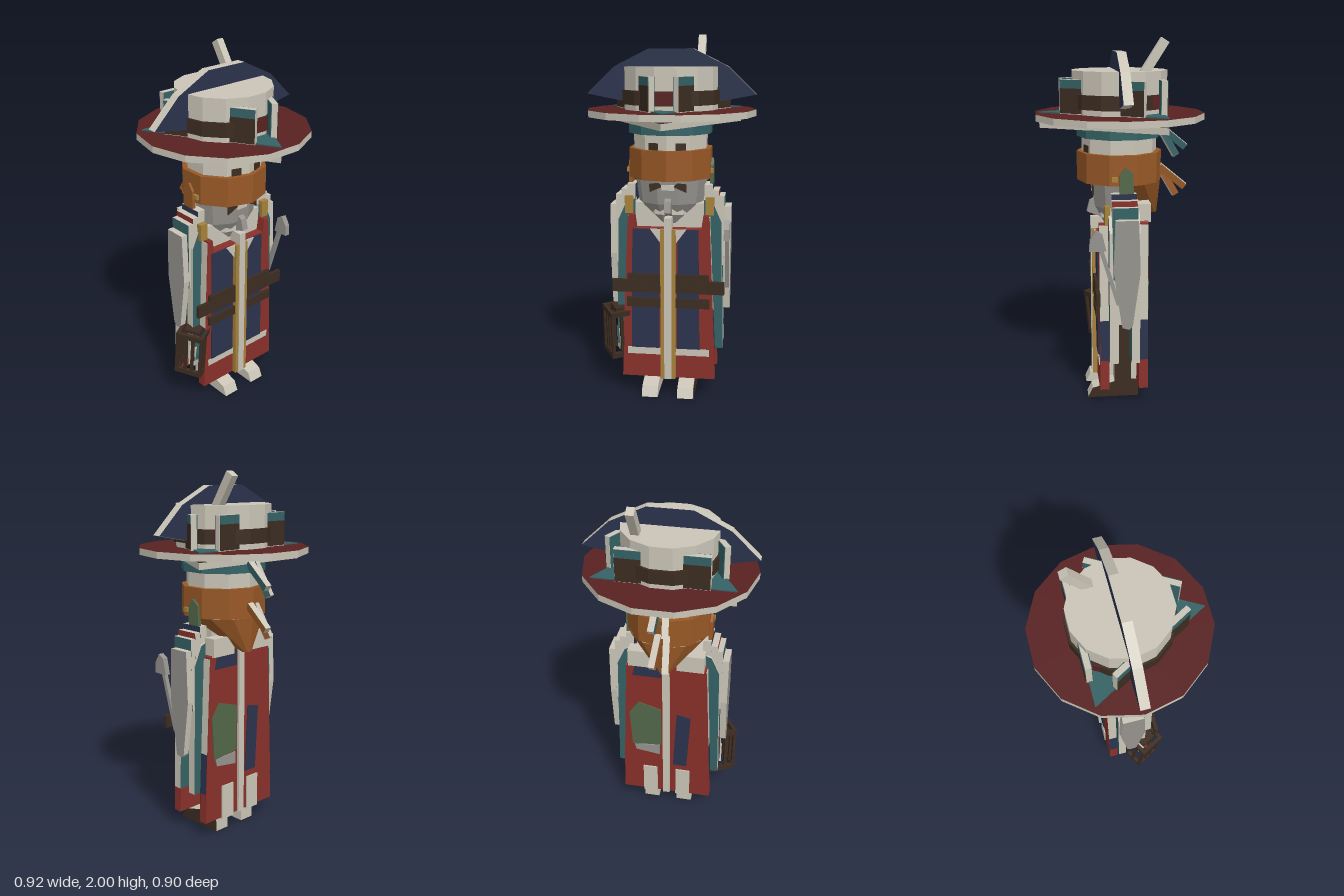
import * as THREE from 'three';

const paint = (name, color) => {
  const m = new THREE.MeshStandardMaterial({ color });
  m.name = name;
  m.flatShading = true;
  return m;
};
const BONE = paint('bone', 0xcac5b7), MAROON = paint('maroon', 0x582121), RED = paint('red', 0x89302a);
const NAVY = paint('navy', 0x2b334d), TEAL = paint('teal', 0x356265), BROWN = paint('brown', 0x3c2c21);
const ORANGE = paint('orange', 0x985826), GOLD = paint('gold', 0xa6813a);
const GREY = paint('grey', 0x96938e), GREEN = paint('green', 0x526849);
ORANGE.side = THREE.DoubleSide;

export function createModel() {
  const model = new THREE.Group();
  model.name = 'hattedTraveller';
  let parent = model;

  const add = (name, geo, mat, x = 0, y = 0, z = 0) => {
    const mesh = new THREE.Mesh(geo, mat);
    mesh.name = name;
    mesh.position.set(x, y, z);
    parent.add(mesh);
    return mesh;
  };
  // Box given by its limits
  const box = (name, mat, x0, x1, y0, y1, z0, z1) =>
    add(name, new THREE.BoxGeometry(Math.abs(x1 - x0), y1 - y0, z1 - z0), mat, (x0 + x1) / 2, (y0 + y1) / 2, (z0 + z1) / 2);
  const extrude = (pts, depth) => new THREE.ExtrudeGeometry(
    new THREE.Shape(pts.map(p => new THREE.Vector2(p[0], p[1]))), { depth, bevelEnabled: false });
  // Cut-out facing z, with its own face and edge colours
  const plate = (name, pts, z0, z1, face, edge = BONE) => add(name, extrude(pts, z1 - z0), [face, edge], 0, 0, z0);
  // Cut-out facing x, points given as z, y
  const sidePlate = (name, pts, x0, x1, face, edge = BONE) =>
    add(name, extrude(pts, Math.abs(x1 - x0)).rotateY(-Math.PI / 2), [face, edge], Math.max(x0, x1));
  // Cut-out lying flat, points given as x, z
  const flatPlate = (name, pts, y0, y1, face, edge = BONE) =>
    add(name, extrude(pts, y1 - y0).rotateX(Math.PI / 2), [face, edge], 0, y1);
  const drum = (name, r, y0, y1, sides, mat) =>
    add(name, new THREE.CylinderGeometry(r, r, y1 - y0, sides), mat, 0, (y0 + y1) / 2);
  // Bar between two points
  const bar = (name, a, b, w, d, mat) => {
    const A = new THREE.Vector3(...a), dir = new THREE.Vector3(...b).sub(A);
    const mesh = add(name, new THREE.BoxGeometry(w, dir.length(), d), mat);
    mesh.position.copy(A).addScaledVector(dir, 0.5);
    mesh.quaternion.setFromUnitVectors(new THREE.Vector3(0, 1, 0), dir.normalize());
    return mesh;
  };
  const mirror = (pts, s) => pts.map(([x, y]) => [s * x, y]);
  const group = name => {
    parent = new THREE.Group();
    parent.name = name;
    model.add(parent);
    return parent;
  };

  // ---- Hat ----
  group('hat');
  const turn = Math.PI / 14;
  const brim = add('brim', new THREE.CylinderGeometry(0.46, 0.46, 0.035, 14), [BONE, MAROON, MAROON], 0, 1.588, 0);
  const crown = drum('crown', 0.258, 1.6, 1.83, 14, BONE);
  const band = drum('hatBand', 0.27, 1.635, 1.71, 14, BROWN);
  [brim, crown, band].forEach(m => { m.rotation.y = turn; });
  box('bandPatch', MAROON, -0.055, 0.055, 1.64, 1.708, 0.262, 0.268);
  for (const s of [1, -1]) {
    const patch = add('bandPatch', new THREE.BoxGeometry(0.1, 0.068, 0.006), MAROON, s * 0.206, 1.674, -0.165);
    patch.rotation.y = s * 9 * turn;
  }
  const corners = [[0, 0.43], [0.37, -0.215], [-0.37, -0.215]];
  flatPlate('lowerTricorn', corners, 1.525, 1.56, BROWN);
  flatPlate('upperTricorn', corners, 1.605, 1.612, TEAL, TEAL);
  // Three upturned flaps
  for (const a of [Math.PI / 3, Math.PI, -Math.PI / 3]) {
    const keep = parent;
    const flap = new THREE.Group();
    flap.name = 'hatFlap';
    flap.rotation.y = a;
    parent.add(flap);
    parent = flap;
    box('flapBoard', BONE, -0.24, 0.24, 1.606, 1.785, 0.195, 0.225);
    box('flapLower', BROWN, -0.238, 0.238, 1.61, 1.74, 0.224, 0.229);
    box('flapUpper', TEAL, -0.238, 0.238, 1.74, 1.784, 0.224, 0.229);
    box('flapLining', TEAL, -0.238, 0.238, 1.61, 1.784, 0.191, 0.196);
    parent = keep;
  }
  plate('crest', [[-0.46, 1.685], [-0.31, 1.83], [-0.12, 1.925], [0.12, 1.925], [0.31, 1.83], [0.46, 1.685], [0.25, 1.645], [-0.25, 1.645]],
    -0.025, 0.025, NAVY);
  bar('feather', [0.15, 1.78, -0.09], [0.15, 1.987, -0.222], 0.042, 0.048, BONE);

  // ---- Head ----
  group('head');
  drum('neck', 0.13, 1.04, 1.3, 10, BONE);
  drum('skull', 0.205, 1.3, 1.48, 10, BONE);
  drum('capBand', 0.232, 1.48, 1.526, 10, TEAL);
  drum('scarf', 0.232, 1.24, 1.4, 10, ORANGE);
  // Beard wraps the front half of the face
  const beardProfile = [[0.001, 0.98], [0.1, 0.98], [0.18, 1.1], [0.2, 1.245]].map(p => new THREE.Vector2(...p));
  const beard = new THREE.LatheGeometry(beardProfile, 5, -Math.PI / 2, Math.PI).scale(1, 1, 0.8);
  add('beard', beard, GREY);
  sidePlate('beardTip', [[0.13, 1.14], [0.165, 1.12], [0.18, 1.06], [0.1, 1.03]], -0.018, 0.018, GREY, GREY);
  box('mouth', BONE, -0.035, 0.035, 1.18, 1.21, 0.14, 0.154);
  for (const s of [1, -1]) {
    const eye = add('eye', new THREE.BoxGeometry(0.055, 0.045, 0.009), BROWN, s * 0.072, 1.415, 0.182);
    eye.rotation.y = s * Math.PI / 9;
    plate('moustache', mirror([[0.03, 1.2], [0.1, 1.17], [0.1, 1.215], [0.05, 1.22]], s), 0.145, 0.154, BROWN, BROWN);
    sidePlate('earFlap', [[0.02, 1.2], [0.02, 1.3], [-0.01, 1.34], [-0.05, 1.31], [-0.055, 1.2]], s * 0.215, s * 0.235,
      s > 0 ? GREEN : ORANGE, s > 0 ? GREEN : ORANGE);
    box('earring', GOLD, s * 0.222, s * 0.237, 1.265, 1.29, 0.03, 0.06);
  }
  // Cloth drawn to a point at the back, with knotted ends
  const cloth = new THREE.CylinderGeometry(0.23, 0.03, 0.19, 6, 1, true, Math.PI / 2, Math.PI);
  const cp = cloth.attributes.position;
  for (let i = 0; i < cp.count; i++) if (cp.getY(i) < 0) cp.setZ(i, cp.getZ(i) - 0.18);
  add('scarfDrape', cloth, ORANGE, 0, 1.145, 0);
  for (const [y, mat] of [[1.31, ORANGE], [1.53, TEAL]]) {
    const faces = [mat, mat, BONE, BONE, BONE, BONE];
    bar('upperTie', [0.02, y, -0.22], [0.03, y - 0.115, -0.36], 0.035, 0.036, faces);
    bar('lowerTie', [-0.02, y, -0.22], [-0.03, y - 0.17, -0.32], 0.035, 0.036, faces);
  }

  // ---- Robe ----
  group('robe');
  plate('torso', [[-0.19, 0.45], [0.19, 0.45], [0.19, 1.1], [-0.19, 1.1]], -0.08, 0.08, BONE);
  const hemX = y => 0.262 - (y - 0.1) * 0.0447;
  const frontHalf = [[0, 0.1], [0.262, 0.1], [0.22, 1.04], [0.19, 1.04], [0.18, 0.965], [0, 0.965]];
  const backHalf = [[0, 0.1], [0.262, 0.1], [0.22, 1.04], [0.17, 1.08], [0, 1.08]];
  for (const s of [1, -1]) {
    for (const [name, half, z0, z1] of [['frontSkirt', frontHalf, 0.08, 0.13], ['backSkirt', backHalf, -0.135, -0.085]]) {
      plate(name, mirror(half, s), z0, z1, RED, RED);
      // Banded side edges
      for (const [y0, y1, mat] of [[0.27, 0.5, NAVY], [0.5, 1.03, BONE]]) {
        const strip = [[hemX(y0) - 0.003, y0], [hemX(y0) + 0.004, y0], [hemX(y1) + 0.004, y1], [hemX(y1) - 0.003, y1]];
        plate('skirtEdge', mirror(strip, s), z0 + 0.001, z1 - 0.001, RED, mat);
      }
    }
    // Front panel; the left one is overlapped by the red coat edge
    const out = s > 0 ? 0.175 : 0.208;
    plate('frontTrim', mirror([[0.03, 0.235], [0.23, 0.235], [0.23, 0.275], [0.03, 0.275]], s), 0.129, 0.134, BONE);
    plate('frontPanel', mirror([[0.05, 0.275], [out, 0.275], [out - 0.01, 0.962], [0.05, 0.962]], s), 0.129, 0.136, NAVY, NAVY);
    plate('collarTip', mirror([[0.04, 0.965], [0.1, 0.965], [0.045, 0.89]], s), 0.136, 0.143, BONE);
    box('goldTrim', GOLD, s * 0.02, s * 0.042, 0.1, 0.965, 0.13, 0.155);
    // Coat tails with pale edges
    const tail = [[0.19, 0.27], [0.3, 0.27], [0.285, 1.0], [0.24, 1.1], [0.19, 1.12]];
    plate('frontTail', mirror(tail, s), 0.03, 0.08, TEAL);
    plate('backTail', mirror(tail, s), -0.085, -0.04, TEAL);
    box('shoulderClasp', GOLD, s * 0.2, s * 0.245, 1.04, 1.135, 0.07, 0.1);
    box('backYoke', BONE, s * 0.06, s * 0.21, 1.04, 1.14, -0.15, -0.08);
  }
  box('frontSeam', BONE, -0.02, 0.02, 0.1, 1.03, 0.08, 0.16);
  box('backSeam', BONE, -0.02, 0.02, 0.1, 1.08, -0.15, -0.13);
  // Patchwork on the back
  const patches = [
    [GREEN, [[0.03, 0.48], [0.2, 0.46], [0.215, 0.7], [0.16, 0.78], [0.03, 0.74]]],
    [GREY, [[0.04, 0.4], [0.18, 0.42], [0.19, 0.46], [0.04, 0.47]]],
    [NAVY, [[0.03, 0.97], [0.19, 0.97], [0.17, 1.06], [0.03, 1.06]]],
    [NAVY, [[-0.04, 0.33], [-0.12, 0.33], [-0.14, 0.7], [-0.06, 0.72]]],
  ];
  for (const [mat, pts] of patches) plate('backPatch', pts, -0.141, -0.134, mat, mat);
  // Belts
  box('upperBelt', BROWN, -0.31, 0.31, 0.605, 0.675, 0.13, 0.152);
  box('upperBeltFold', BROWN, -0.225, 0.225, 0.675, 0.71, 0.13, 0.15);
  box('lowerBelt', BROWN, -0.23, 0.23, 0.52, 0.572, 0.13, 0.15);

  // ---- Arms: stepped layers with a long tapering outer sleeve ----
  group('arms');
  for (const s of [1, -1]) {
    const layers = [[0.19, 0.235, 1.2, NAVY], [0.235, 0.27, 1.17, RED], [0.27, 0.3, 1.14, TEAL]];
    for (const [x0, x1, top, mat] of layers) {
      sidePlate('sleeveLayer', [[-0.08, 0.75], [0.06, 0.75], [0.065, top], [-0.07, top]], s * x0, s * x1, mat);
    }
    sidePlate('sleeve', [[-0.04, 0.5], [-0.02, 0.48], [0.015, 0.49], [0.06, 0.8], [0.05, 1.08], [-0.07, 1.08], [-0.08, 0.8]],
      s * 0.3, s * 0.335, GREY);
  }

  // ---- Axe by the left arm ----
  group('axe');
  bar('axeHandle', [0.32, 0.62, 0.035], [0.32, 1.0, 0.15], 0.022, 0.022, GREY);
  sidePlate('axeHead', [[0.1, 0.92], [0.19, 0.92], [0.185, 0.98], [0.155, 1.03], [0.12, 1.01]], 0.305, 0.335, GREY, GREY);

  // ---- Legs and shoes ----
  group('legs');
  for (const s of [1, -1]) {
    box('leg', BONE, s * 0.06, s * 0.14, 0.08, 0.46, -0.055, 0.04);
    box('bootBack', BONE, s * 0.055, s * 0.14, 0.09, 0.29, -0.142, -0.05);
    const shoe = [[-0.095, 0], [0.19, 0], [0.165, 0.055], [0.04, 0.09], [0.04, 0.1], [-0.095, 0.1]];
    sidePlate('shoe', shoe, s * 0.055, s * 0.145, BONE);
    if (s > 0) {
      sidePlate('shoeSide', shoe, 0.144, 0.149, BROWN, BROWN);
      box('legSide', BROWN, 0.139, 0.145, 0.1, 0.46, -0.055, 0.04);
    }
  }

  // ---- Lantern cage hanging at the right hand ----
  const lantern = group('lantern');
  lantern.position.set(-0.275, 0.215, 0.045);
  lantern.rotation.set(0.1, 0.52, 0);
  const hw = 0.08, hd = 0.07;
  for (const s of [1, -1]) {
    for (const y of [0, 0.25]) {
      box('cageRail', BROWN, -hw - 0.01, hw + 0.01, y, y + 0.03, s * hd - 0.01, s * hd + 0.01);
      box('cageRail', BROWN, s * hw - 0.01, s * hw + 0.01, y, y + 0.03, -hd, hd);
    }
    for (const x of [-hw, -0.027, 0.027, hw]) box('cageBar', BROWN, x - 0.009, x + 0.009, 0.01, 0.27, s * hd - 0.009, s * hd + 0.009);
    for (const z of [-0.02, 0.02]) box('cageSideBar', BROWN, s * hw - 0.008, s * hw + 0.008, 0.01, 0.27, z - 0.008, z + 0.008);
  }
  box('cageRoof', BROWN, -0.05, 0.05, 0.265, 0.29, -0.045, 0.045);
  box('candle', BONE, -0.025, 0.025, 0.02, 0.15, -0.02, 0.02);

  return model;
}
